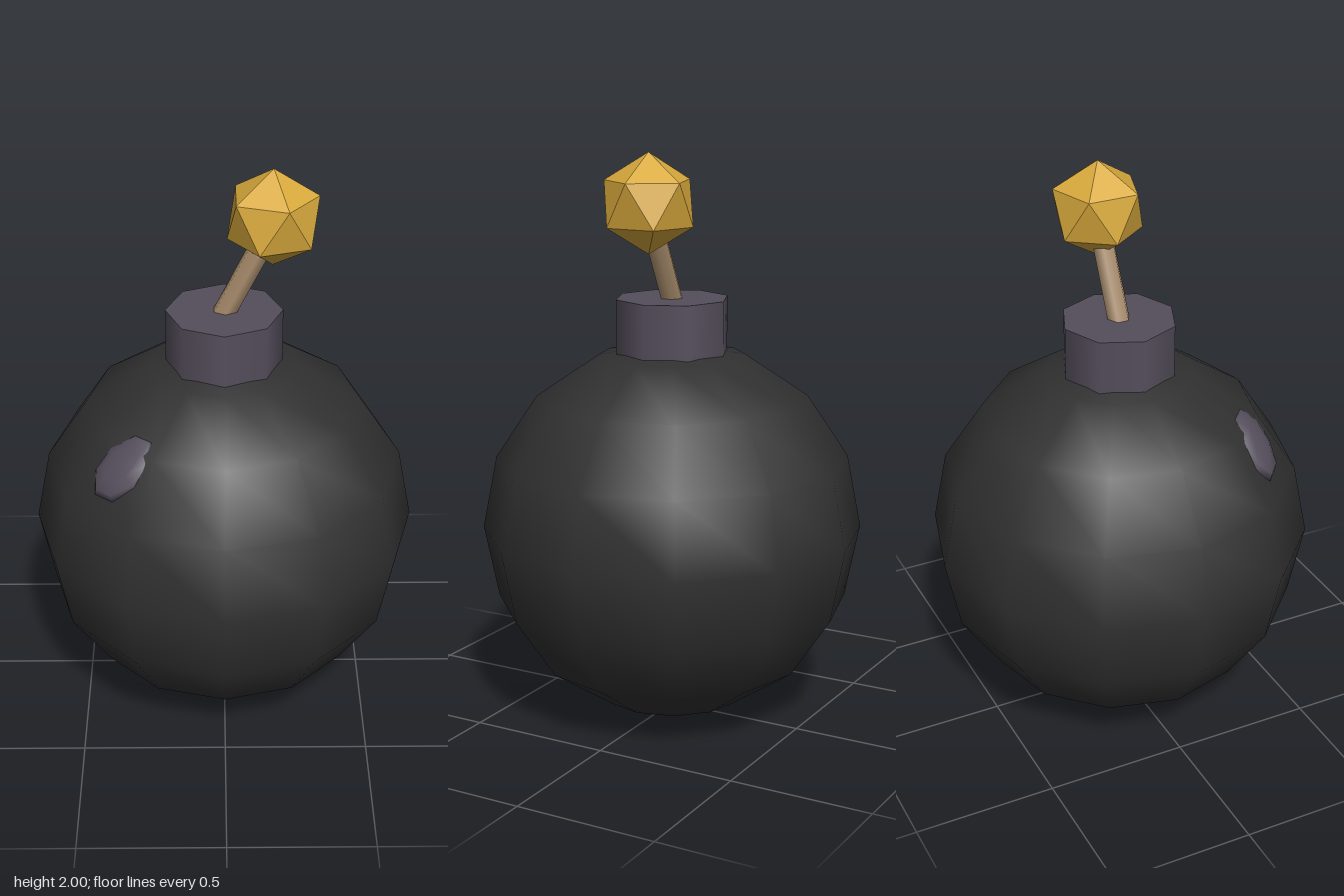
import * as THREE from 'three';

const material = (name, color, flatShading = false) => {
  const m = new THREE.MeshStandardMaterial({ color, flatShading });
  m.name = name;
  return m;
};

export function createModel() {
  const group = new THREE.Group();
  group.name = 'bomb';
  const black = material('black iron', 0x303030);
  const grey = material('purple grey metal', 0x544e5b);
  const tan = material('tan cord', 0xa88c6c);
  const gold = material('gold spark', 0xd8a93c, true);

  const add = (name, geometry, mat, x, y, z) => {
    const mesh = new THREE.Mesh(geometry, mat);
    mesh.name = name;
    mesh.position.set(x, y, z);
    group.add(mesh);
    return mesh;
  };

  // Round body and the collar on top of it
  const radius = 0.67, centreY = 0.674;
  add('body', new THREE.SphereGeometry(radius, 12, 8), black, 0, centreY, 0);
  add('collar', new THREE.CylinderGeometry(0.2, 0.2, 0.2, 8), grey, 0, 1.393, 0);

  // Leaning fuse
  const tilt = -0.465;
  const fuse = add('fuse', new THREE.CylinderGeometry(0.04, 0.04, 0.4, 6), tan, 0.079, 1.641, 0);
  fuse.rotation.z = tilt;

  // Faceted spark, turned so that one corner points straight up
  const spark = add('spark', new THREE.IcosahedronGeometry(0.17, 0), gold, 0.161, 1.83, 0);
  spark.rotation.z = -Math.atan(1 / ((1 + Math.sqrt(5)) / 2));

  // Flattened oval highlight lying on the upper front of the body
  const normal = new THREE.Vector3(-0.335, 0.413, 0.353).normalize();
  const along = new THREE.Vector3(0.3, 0.36, 0).projectOnPlane(normal).normalize();
  const across = new THREE.Vector3().crossVectors(normal, along);
  const oval = new THREE.SphereGeometry(1, 8, 6);
  oval.scale(0.14, 0.04, 0.098);
  oval.applyMatrix4(new THREE.Matrix4().makeBasis(along, normal, across.negate()));
  const p = normal.clone().multiplyScalar(0.632);
  add('highlight', oval, grey, p.x, p.y + centreY, p.z);

  return group;
}
